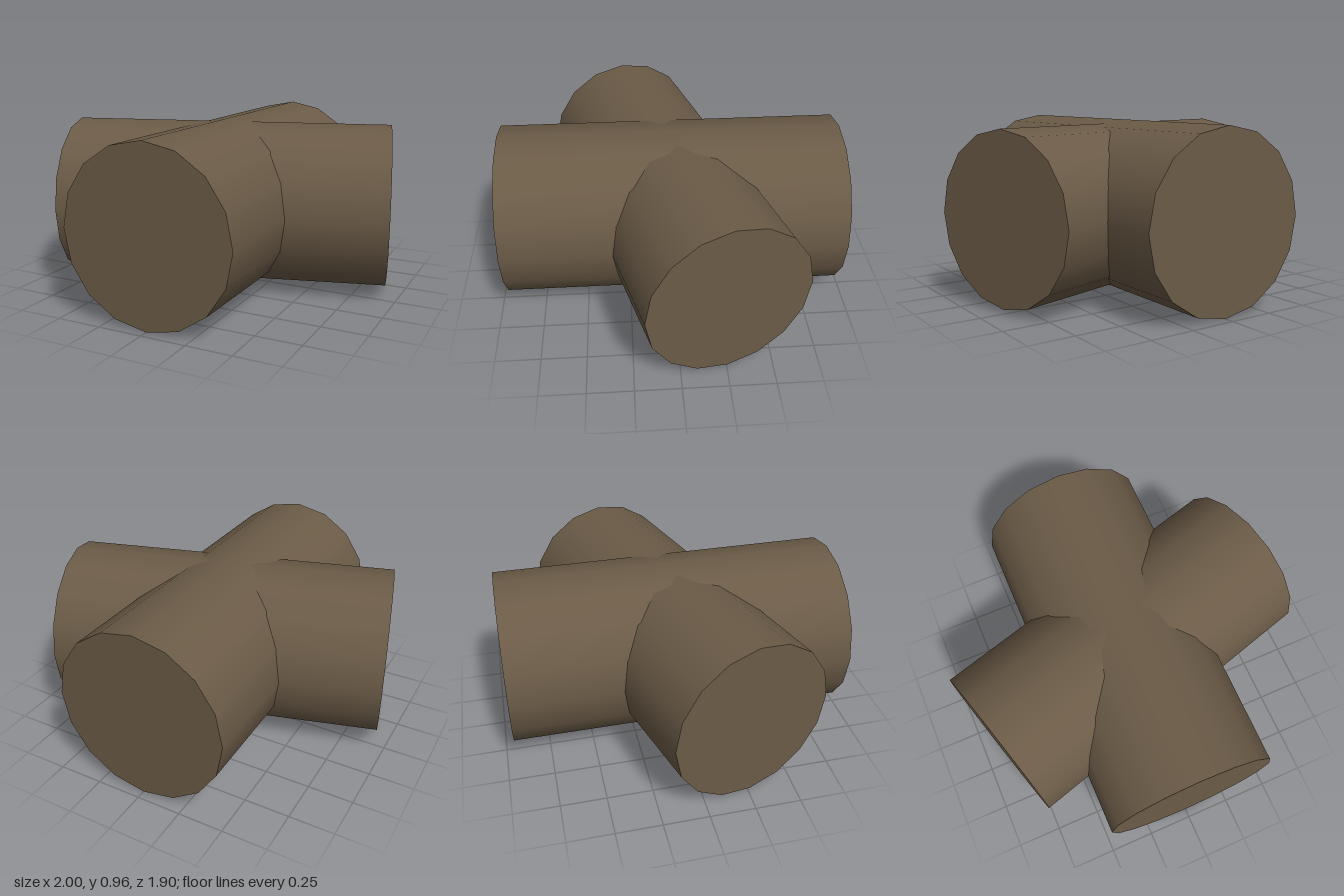
import * as THREE from 'three';

const SIDES = 16;
const CENTRE_Y = 0.48;

export function createModel() {
  const group = new THREE.Group();
  group.name = 'crossedLogs';
  const bark = new THREE.MeshStandardMaterial({ color: 0x6b5b47 });

  // A log lying level along z, then turned about the vertical axis
  function addLog(name, radius, length, turn) {
    const geometry = new THREE.CylinderGeometry(radius, radius, length, SIDES);
    geometry.rotateX(Math.PI / 2);
    const log = new THREE.Mesh(geometry, bark);
    log.name = name;
    log.position.y = CENTRE_Y;
    log.rotation.y = turn;
    group.add(log);
  }

  // Thicker log running front to back
  addLog('lengthwiseLog', 0.48, 1.9, 0);
  // Slightly thinner log crossing it at a slant
  addLog('crossLog', 0.458, 1.815, Math.PI / 2 + 0.282);

  return group;
}
